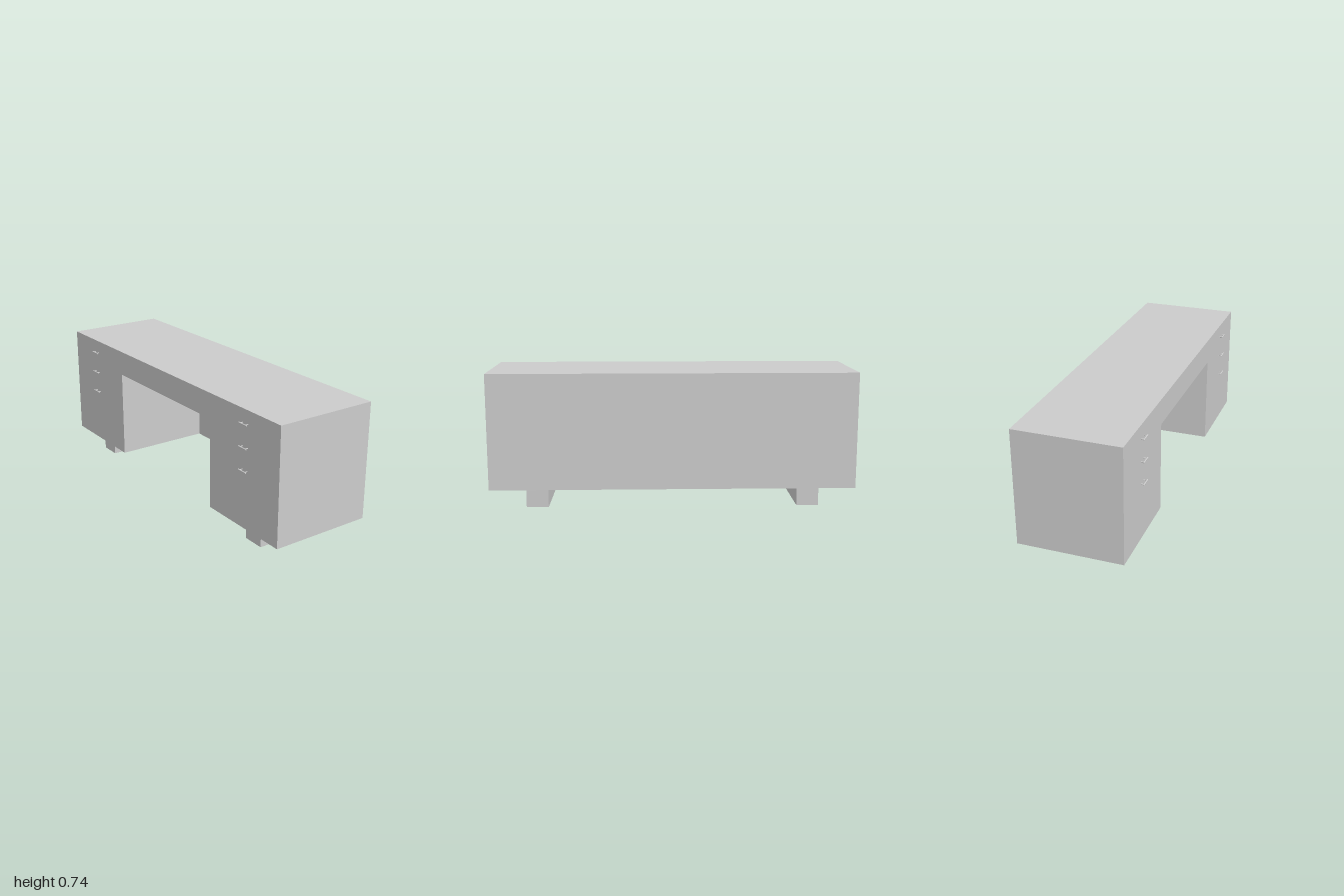
import * as THREE from 'three';

const material = new THREE.MeshStandardMaterial({ color: 0xcccccc });

function add(parent, name, geometry, x = 0, y = 0, z = 0) {
  const mesh = new THREE.Mesh(geometry, material);
  mesh.name = name;
  mesh.position.set(x, y, z);
  parent.add(mesh);
  return mesh;
}

// Drawer pull: a round bar on two short posts, origin on the drawer face
function createHandle() {
  const handle = new THREE.Group();
  handle.name = 'drawerHandle';
  const bar = new THREE.CylinderGeometry(0.0038, 0.0038, 0.06, 16).rotateZ(Math.PI / 2);
  add(handle, 'handleBar', bar, 0, 0, 0.0165);
  for (const side of [-1, 1]) {
    const post = new THREE.CylinderGeometry(0.0025, 0.0025, 0.0165, 12).rotateX(Math.PI / 2);
    add(handle, 'handlePost', post, side * 0.02, 0, 0.00825);
  }
  return handle;
}

export function createModel() {
  const desk = new THREE.Group();
  desk.name = 'desk';

  const bottom = 0.1, top = 0.735, front = 0.275, back = -0.293;
  const kneeX = 0.445, kneeTop = 0.596, panel = 0.018;

  // Top and both pedestals as one solid around the knee space
  const outline = new THREE.Shape([
    [-1, bottom], [-kneeX, bottom], [-kneeX, kneeTop], [kneeX, kneeTop],
    [kneeX, bottom], [1, bottom], [1, top], [-1, top],
  ].map(([x, y]) => new THREE.Vector2(x, y)));
  const depth = front - back - panel;
  const body = new THREE.ExtrudeGeometry(outline, { depth, bevelEnabled: false });
  add(desk, 'deskBody', body, 0, 0, back + panel);

  // Full-width panel closing the back
  add(desk, 'backPanel', new THREE.BoxGeometry(2, top - bottom, panel),
    0, (top + bottom) / 2, back + panel / 2);

  for (const side of [-1, 1]) {
    // Runner foot under each pedestal
    add(desk, 'foot', new THREE.BoxGeometry(0.12, bottom, 0.488), side * 0.74, bottom / 2, -0.031);

    // Three drawer handles per pedestal
    for (const y of [0.417, 0.54, 0.663]) {
      const handle = createHandle();
      handle.position.set(side * 0.737, y, front);
      desk.add(handle);
    }
  }
  return desk;
}
